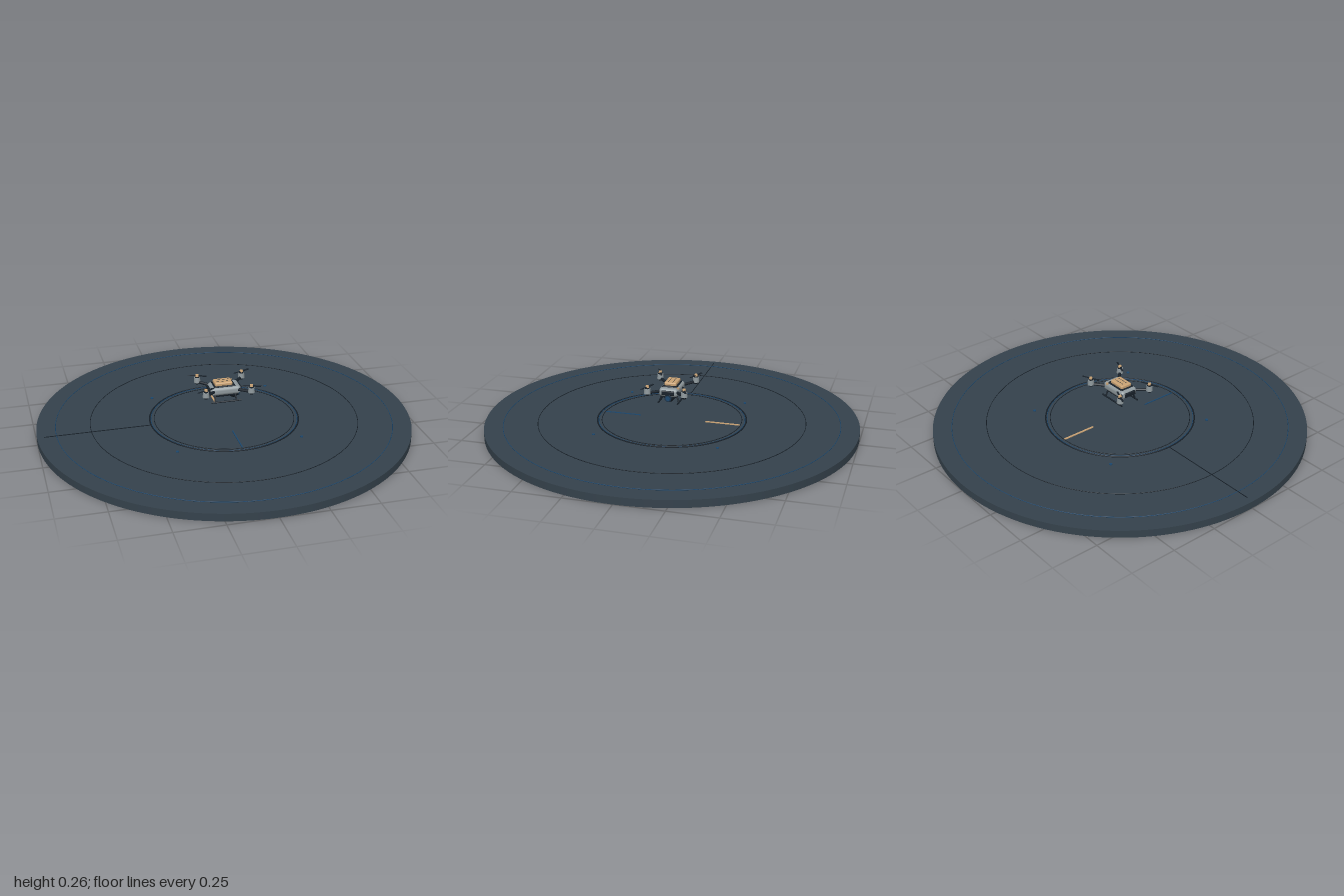
import * as THREE from 'three';
import { RoundedBoxGeometry } from 'three/addons/geometries/RoundedBoxGeometry.js';

const mat = (name, color) => {
  const m = new THREE.MeshStandardMaterial({ color });
  m.name = name;
  return m;
};

export function createModel() {
  const deck = mat('deck slate', 0x35424c);
  const dark = mat('dark trim', 0x18212a);
  const blue = mat('blue marking', 0x1c486f);
  const tan = mat('tan', 0xc9a274);
  const grey = mat('shell grey', 0x8f999d);
  const lensMat = mat('lens navy', 0x1d3348);

  const model = new THREE.Group();
  model.name = 'droneOnLandingPad';
  const add = (parent, name, geo, material, x = 0, y = 0, z = 0) => {
    const mesh = new THREE.Mesh(geo, material);
    mesh.name = name;
    mesh.position.set(x, y, z);
    parent.add(mesh);
    return mesh;
  };
  const box = (w, h, d) => new THREE.BoxGeometry(w, h, d);
  const round = (w, h, d, r) => new RoundedBoxGeometry(w, h, d, 3, r);
  const cyl = (rt, rb, h, n = 20) => new THREE.CylinderGeometry(rt, rb, h, n);
  // round bar between two points
  const bar = (parent, name, a, b, r, material) => {
    const p = new THREE.Vector3(...a), q = new THREE.Vector3(...b);
    const mesh = add(parent, name, cyl(r, r, p.distanceTo(q), 10), material);
    mesh.position.copy(p).lerp(q, 0.5);
    mesh.quaternion.setFromUnitVectors(new THREE.Vector3(0, 1, 0), q.sub(p).normalize());
    return mesh;
  };

  // Landing pad
  const pad = new THREE.Group();
  pad.name = 'landingPad';
  model.add(pad);
  add(pad, 'deckDisc', cyl(1, 1, 0.04, 160), deck, 0, 0.02, 0);
  const rings = [
    ['outerRing', 0.9, 0.0018, blue], ['middleRing', 0.717, 0.0018, dark],
    ['innerRing', 0.4, 0.004, dark], ['innerRingGlow', 0.393, 0.002, blue],
    ['innerSeam', 0.376, 0.002, dark],
  ];
  for (const [name, r, tube, m] of rings) {
    add(pad, name, new THREE.TorusGeometry(r, tube, 6, 160), m, 0, 0.042, 0).rotation.x = Math.PI / 2;
  }
  add(pad, 'rearMark', box(0.01, 0.004, 0.19), tan, 0, 0.042, -0.28);
  add(pad, 'frontMark', box(0.006, 0.004, 0.2), blue, 0, 0.042, 0.275);
  add(pad, 'sideSeam', box(0.56, 0.004, 0.002), dark, -0.685, 0.042, 0);
  for (const sx of [-1, 1]) for (const sz of [-1, 1]) {
    add(pad, 'padLight', cyl(0.008, 0.008, 0.005, 12), blue, sx * 0.33, 0.042, sz * 0.33);
  }

  // Drone, nose toward +x
  const drone = new THREE.Group();
  drone.name = 'drone';
  model.add(drone);
  add(drone, 'bodyShell', round(0.165, 0.046, 0.104, 0.018), grey, 0, 0.213, 0);
  add(drone, 'bellyPlate', round(0.12, 0.02, 0.076, 0.008), dark, 0, 0.188, 0);
  add(drone, 'topDeck', round(0.115, 0.01, 0.08, 0.004), dark, -0.005, 0.236, 0);
  add(drone, 'batteryPack', round(0.095, 0.022, 0.066, 0.007), tan, -0.008, 0.246, 0);
  for (const z of [-0.012, 0.012]) add(drone, 'packGroove', box(0.07, 0.002, 0.002), dark, -0.008, 0.2565, z);
  for (const s of [-1, 1]) add(drone, 'endCap', round(0.014, 0.024, 0.07, 0.005), dark, s * 0.082, 0.214, 0);
  add(drone, 'beacon', cyl(0.007, 0.007, 0.008, 12), tan, 0.05, 0.234, -0.047);

  // Arms, motors and rotors
  for (const sx of [-1, 1]) for (const sz of [-1, 1]) {
    const x = sx * 0.123, z = sz * 0.1;
    bar(drone, 'arm', [sx * 0.055, 0.215, sz * 0.035], [x, 0.22, z], 0.008, dark);
    add(drone, 'motorFoot', cyl(0.014, 0.009, 0.012), dark, x, 0.213, z);
    add(drone, 'motorPod', cyl(0.016, 0.018, 0.028), grey, x, 0.231, z);
    add(drone, 'motorBand', cyl(0.0125, 0.0125, 0.006), dark, x, 0.248, z);
    add(drone, 'rotorHub', cyl(0.008, 0.01, 0.01), tan, x, 0.256, z);
    const rotor = new THREE.Group();
    rotor.name = 'rotor';
    rotor.position.set(x, 0.254, z);
    rotor.rotation.y = sx * sz * -0.4;
    for (const s of [-1, 1]) {
      add(rotor, 'blade', box(0.044, 0.0025, 0.01), dark, s * 0.029, 0, 0).rotation.x = s * 0.2;
    }
    drone.add(rotor);
  }

  // Landing skids
  for (const s of [-1, 1]) {
    bar(drone, 'skid', [-0.082, 0.157, s * 0.053], [0.082, 0.157, s * 0.053], 0.0045, dark);
    for (const x of [-0.062, 0.055]) {
      bar(drone, 'skidLeg', [x * 0.9, 0.205, s * 0.036], [x, 0.157, s * 0.053], 0.0045, dark);
    }
  }

  // Camera under the nose
  add(drone, 'cameraMount', cyl(0.014, 0.018, 0.02), dark, 0.052, 0.202, 0);
  add(drone, 'cameraBall', new THREE.SphereGeometry(0.029, 24, 16), dark, 0.052, 0.185, 0);
  add(drone, 'cameraBarrel', cyl(0.019, 0.019, 0.012), lensMat, 0.076, 0.183, 0).rotation.z = -Math.PI / 2;
  add(drone, 'cameraLens', cyl(0.012, 0.012, 0.004), blue, 0.083, 0.183, 0).rotation.z = -Math.PI / 2;

  return model;
}
